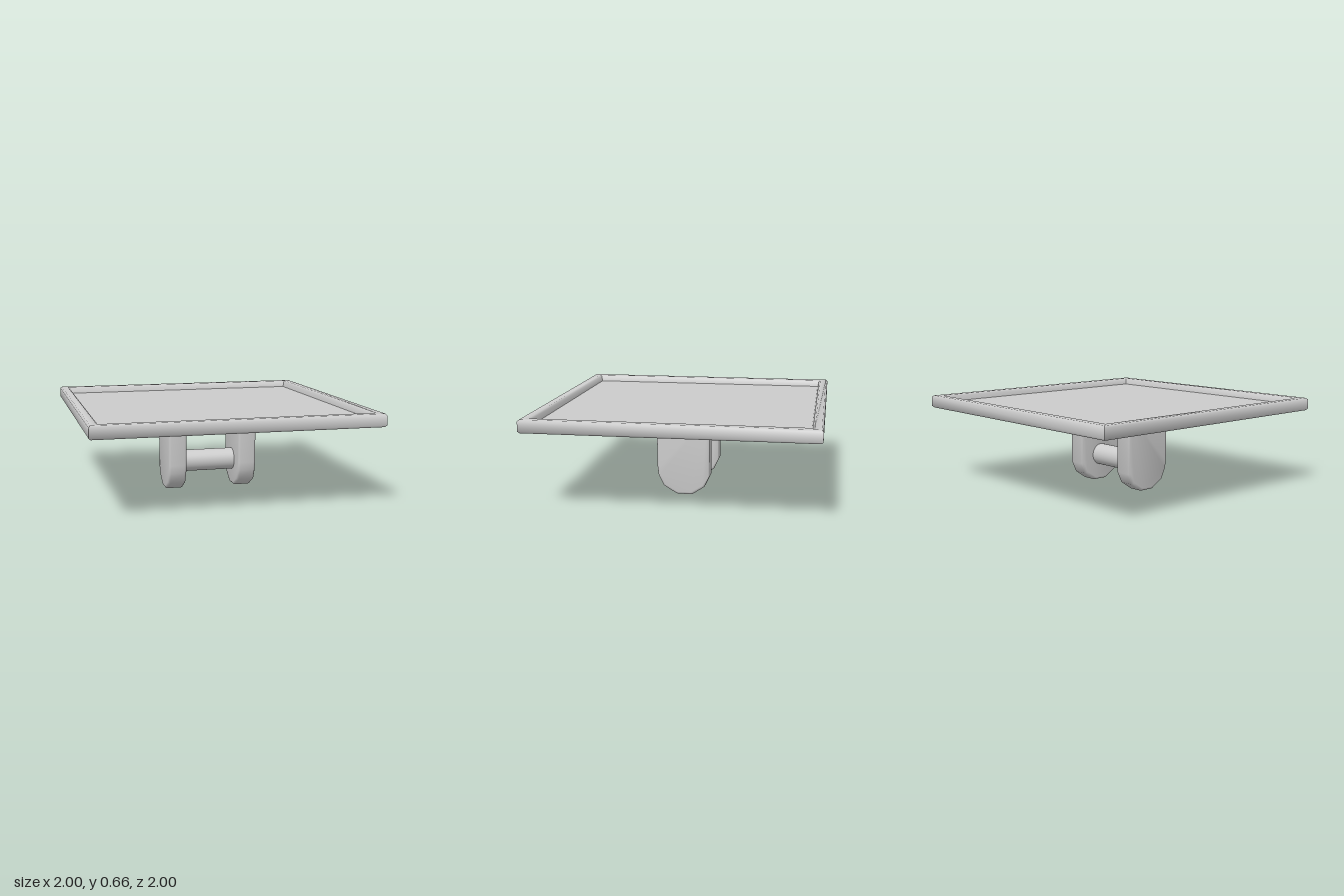
import * as THREE from 'three';
import { toCreasedNormals } from 'three/addons/utils/BufferGeometryUtils.js';

export function createModel() {
  const group = new THREE.Group();
  const material = new THREE.MeshStandardMaterial({ color: 0xcccccc });
  const add = (name, geometry) => {
    const mesh = new THREE.Mesh(geometry, material);
    mesh.name = name;
    group.add(mesh);
    return mesh;
  };

  // Square tray: a four-sided lathe of [half width, height], from underside to recessed floor
  const profile = [
    [0, 0.568], [0.988, 0.568], [1, 0.58], [1, 0.648], [0.988, 0.66],
    [0.942, 0.66], [0.93, 0.65], [0.922, 0.612], [0, 0.612],
  ].map(([w, y]) => new THREE.Vector2(w * Math.SQRT2, y));
  add('tray', toCreasedNormals(new THREE.LatheGeometry(profile, 4, Math.PI / 4), 0.85));

  // Two upright brackets with a rounded foot and softened edges, outline in [z, y]
  const outline = [
    [0.2, 0.6], [0.195, 0.2], [0.188, 0.14], [0.15, 0.06], [0.055, 0.003], [0.04, 0],
    [-0.05, 0], [-0.065, 0.003], [-0.15, 0.06], [-0.188, 0.14], [-0.188, 0.6],
  ].map(([z, y]) => new THREE.Vector2(z, y));
  const width = 0.134;
  const bevel = 0.018;
  const bracket = new THREE.ExtrudeGeometry(new THREE.Shape(outline), {
    depth: width - 2 * bevel, bevelEnabled: true, bevelThickness: bevel,
    bevelSize: bevel, bevelOffset: -bevel, bevelSegments: 3,
  });
  bracket.translate(0, 0, bevel - width / 2).rotateY(-Math.PI / 2);
  const bracketGeometry = toCreasedNormals(bracket, 0.8);
  for (const [name, side] of [['leftBracket', 1], ['rightBracket', -1]]) {
    add(name, bracketGeometry).position.x = side * 0.263;
  }

  // Round bar joining the brackets
  const bar = new THREE.CylinderGeometry(0.08, 0.08, 0.44, 32).rotateZ(Math.PI / 2);
  add('crossBar', bar).position.y = 0.197;

  return group;
}
